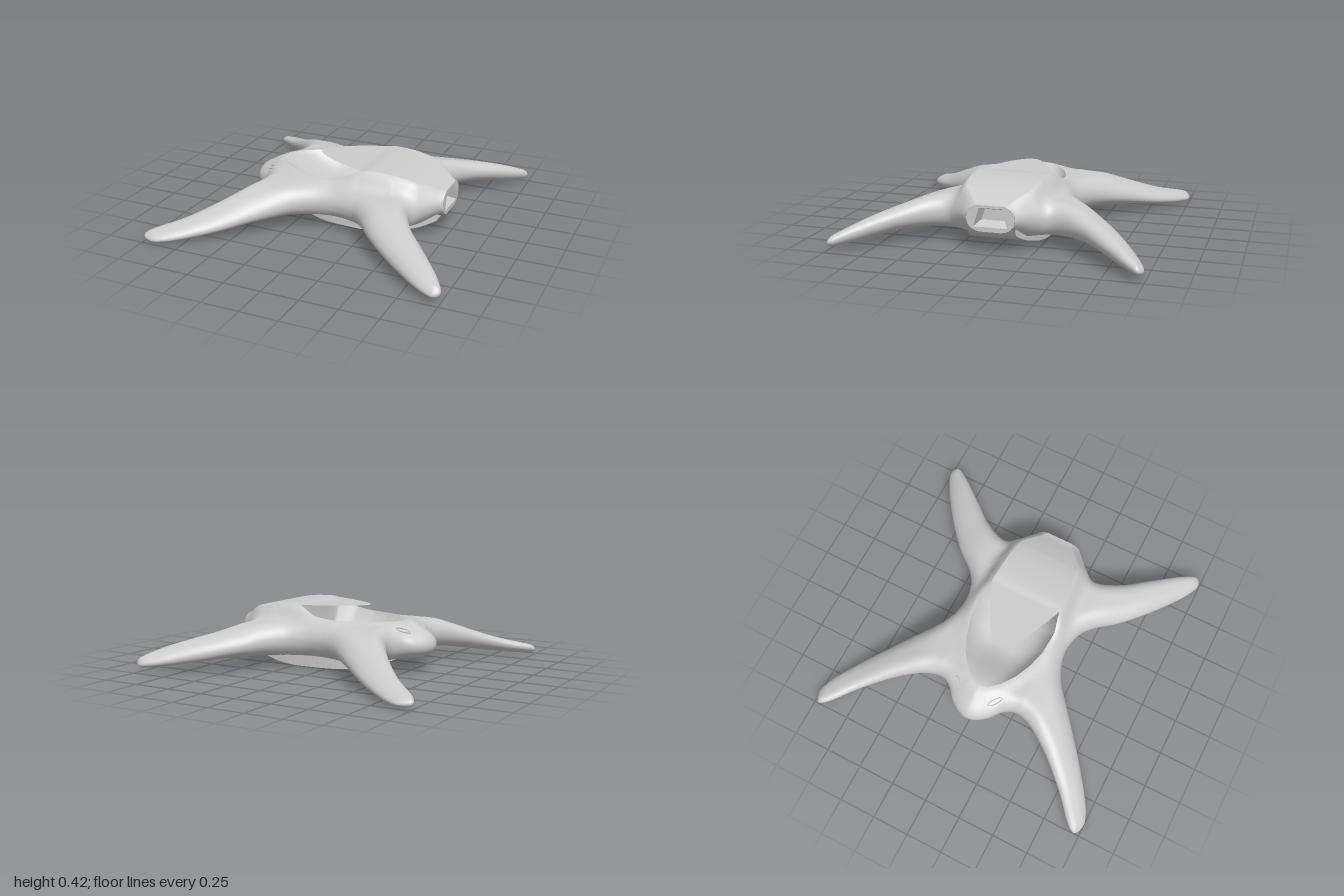
import * as THREE from 'three';
import { mergeVertices, toCreasedNormals } from 'three/addons/utils/BufferGeometryUtils.js';

const { lerp, smoothstep, clamp } = THREE.MathUtils;

// smooth curve y(x) through [x, y] knots, flat outside the range
function curve(knots) {
  const n = knots.length;
  const slope = i => {
    const a = knots[Math.max(i - 1, 0)], b = knots[Math.min(i + 1, n - 1)];
    return (b[1] - a[1]) / (b[0] - a[0]);
  };
  return x => {
    if (x <= knots[0][0]) return knots[0][1];
    if (x >= knots[n - 1][0]) return knots[n - 1][1];
    let i = 0;
    while (x > knots[i + 1][0]) i++;
    const [x0, y0] = knots[i], [x1, y1] = knots[i + 1], h = x1 - x0, t = (x - x0) / h;
    const s = t * t * (3 - 2 * t);
    return y0 + (y1 - y0) * s + h * t * (1 - t) * ((1 - t) * slope(i) - t * slope(i + 1));
  };
}

// distance from a point to a polyline in plan
function distance(x, z, line) {
  let best = 9;
  for (let i = 0; i + 1 < line.length; i++) {
    const [ax, az] = line[i], dx = line[i + 1][0] - ax, dz = line[i + 1][1] - az;
    const t = clamp(((x - ax) * dx + (z - az) * dz) / (dx * dx + dz * dz || 1), 0, 1);
    best = Math.min(best, Math.hypot(x - ax - t * dx, z - az - t * dz));
  }
  return best;
}

// indexed surface from a rule point(i, j); it faces j-direction x i-direction
function grid(n, m, point) {
  const pos = [], index = [];
  for (let i = 0; i <= n; i++) for (let j = 0; j <= m; j++) {
    pos.push(...point(i, j));
    if (i < n && j < m) {
      const a = i * (m + 1) + j, b = a + m + 1;
      index.push(a, a + 1, b, b, a + 1, b + 1);
    }
  }
  const g = new THREE.BufferGeometry();
  g.setAttribute('position', new THREE.Float32BufferAttribute(pos, 3));
  g.setIndex(index);
  const merged = mergeVertices(g, 1e-5);
  merged.computeVertexNormals();
  return merged;
}

// cockpit rim and hump edge (R), front arm centreline (C), rear arm centreline (D)
const R = [[-.47, 0], [-.45, .06], [-.4, .12], [-.3, .19], [-.2, .235], [-.08, .268], [.07, .28],
  [.2, .25], [.4, .237], [.57, .21], [.73, .09]];
const C = [[-.3, .36], [-.45, .53], [-.7, .755], [-.93, .945]];
const D = [[.43, .4], [.54, .6], [.72, .75], [.94, .93]];

// plan outline of one half, each knot paired with its inner point
const half = [
  [-.67, 0, R[0]], [-.655, .06, R[1]], [-.6, .14, R[2]], [-.53, .2, R[3]], [-.495, .27, R[3]],
  [-.51, .36, C[0]], [-.61, .53, C[1]], [-.8, .75, C[2]], [-.985, .925, C[3]], [-1, .97, C[3]],
  [-.935, 1, C[3]], [-.85, .98, C[3]], [-.61, .82, C[2]], [-.4, .65, C[1]], [-.185, .47, C[0]],
  [-.13, .437, R[3]], [-.09, .418, R[4]], [-.03, .398, R[5]], [.07, .387, R[6]], [.19, .415, R[7]],
  [.24, .445, R[8]], [.3, .5, D[0]], [.4, .615, D[1]], [.62, .8, D[2]], [.885, .97, D[3]],
  [.965, .99, D[3]], [1, .96, D[3]], [.965, .89, D[3]], [.78, .67, D[2]], [.66, .53, D[1]],
  [.585, .39, D[0]], [.58, .33, R[8]], [.62, .27, R[9]], [.73, .16, R[10]],
];
const flip = half.slice(1).reverse().map(([x, z, q]) => [x, -z, [q[0], -q[1]]]);
const knots = [...flip, ...half];
const STEPS = 8, COUNT = (knots.length - 1) * STEPS;
const spline = new THREE.CatmullRomCurve3(knots.map(k => new THREE.Vector3(k[0], 0, k[1])));
const outline = Array.from({ length: COUNT + 1 }, (_, i) => {
  const p = spline.getPoint(i / COUNT);
  return [p.x, p.z];
});
const edge = outline.slice(COUNT / 2 - 4);

// height rules
const rimY = curve([[-.47, .33], [-.1, .33], [.07, .352], [.2, .412], [.3, .42], [.45, .408], [.6, .37], [.73, .312]]);
const frontTop = curve([[.3, .31], [.45, .285], [.6, .225], [.8, .13], [1, .055]]);
const rearTop = curve([[.3, .31], [.45, .295], [.6, .25], [.8, .18], [1, .085]]);
const frontLow = curve([[.3, .09], [.45, .09], [.6, .07], [.8, .03], [1, 0]]);
const rearLow = curve([[.3, .085], [.6, .085], [.8, .055], [1, .025]]);

function heights(x, zz, onEdge = false) {
  const z = Math.abs(zz), back = smoothstep(x, -.3, .3);
  const k = Math.exp(-((distance(x, z, R) / .055) ** 2));
  const top = lerp(lerp(frontTop(z), rearTop(z), back), rimY(x), k);
  const tail = smoothstep(x, .55, .73) * (1 - smoothstep(z, .25, .4));
  const low = lerp(frontLow(z), rearLow(z), back) + .055 * tail;
  const nose = (1 - smoothstep(x, -.6, -.4)) * (1 - smoothstep(z, .1, .25));
  const w = .1 + .1 * nose - .045 * smoothstep(z, .6, 1);
  const d = onEdge ? 0 : Math.min(distance(x, z, edge) / w, 1);
  const f = Math.sqrt(1 - (1 - d) ** 2), mid = (top + low) / 2 - .02 * nose * (1 - d);
  return [mid + (top - low) / 2 * f, mid - (top - low) / 2 * f];
}

// point and half width along a polyline
const along = (line, t) => {
  const i = Math.min(Math.floor(t), line.length - 2), f = t - i;
  return [lerp(line[i][0], line[i + 1][0], f), lerp(line[i][1], line[i + 1][1], f)];
};

export function createModel() {
  const group = new THREE.Group();
  const solid = new THREE.MeshStandardMaterial({ color: 0xcccccc });
  const thin = new THREE.MeshStandardMaterial({ color: 0xcccccc, side: THREE.DoubleSide });
  const add = (name, geometry, material = solid) => {
    const mesh = new THREE.Mesh(geometry, material);
    mesh.name = name;
    group.add(mesh);
    return mesh;
  };

  // hull with four blended arms: rows run from the rim, round the edge, to the belly
  const rings = 13;
  const topInner = knots.map(k => k[2]);
  const lowInner = topInner.map(q => Math.abs(q[1]) < .29 ? [q[0], 0] : q);
  add('hullAndArms', grid(COUNT, rings * 2, (i, j) => {
    const upper = j <= rings, s = (Math.abs(j - rings) / rings) ** 1.8;
    const q = along(upper ? topInner : lowInner, i / STEPS), o = outline[i];
    const x = lerp(o[0], q[0], s), z = lerp(o[1], q[1], s);
    return [x, heights(x, z, j === rings)[upper ? 0 : 1], z];
  }));

  // scooped recess in front of the hump, closed by a wall under the panel
  const scoopRows = 7 * STEPS;
  add('cockpitScoop', grid(scoopRows + 1, 24, (i, j) => {
    const [x, h] = along(R.slice(0, 8), Math.min(i / STEPS, 7));
    const v = Math.sin((j / 24 - .5) * Math.PI), rim = heights(x, h)[0];
    const floor = .33 - .13 * smoothstep(x, -.47, -.12);
    return [x, i > scoopRows ? rim : lerp(rim, Math.min(floor, rim), 1 - v ** 4), v * h];
  }), thin);

  // hump panel, overhanging the scoop with a rounded point
  const panel = [[-.19, 0], [-.185, .025], [-.165, .055], [-.1, .11], [0, .165], [.1, .21], ...R.slice(7)];
  add('humpPanel', grid((panel.length - 1) * STEPS, 8, (i, j) => {
    const [x, h] = along(panel, i / STEPS);
    return [x, x < .2 ? .412 : heights(x, h)[0], (j / 4 - 1) * h];
  }), thin);

  // flat-bottomed keel: x, half width, bottom height
  const keelPath = new THREE.CatmullRomCurve3([[-.46, .04, .1], [-.4, .09, .065], [-.28, .16, .03],
    [-.1, .22, .004], [.1, .245, 0], [.25, .245, 0], [.42, .23, .02], [.6, .185, .07], [.69, .155, .115]]
    .map(p => new THREE.Vector3(...p)));
  add('keel', toCreasedNormals(grid(41, 3, (i, j) => {
    const p = keelPath.getPoint(Math.min(i / 40, 1));
    const y = i > 40 || j % 3 === 0 ? .16 : Math.max(p.z, 0);
    return [i > 40 ? .72 : p.x, y, j < 2 ? p.y : -p.y];
  }), .6));

  // tail face with a tapered trapezoid nozzle
  const zs = Array.from({ length: 33 }, (_, i) => (i / 16 - 1) * .16);
  const face = new THREE.Shape([
    ...zs.map(z => new THREE.Vector2(z, heights(.73, z, Math.abs(z) > .159)[1])),
    ...zs.slice(1, -1).reverse().map(z => new THREE.Vector2(z, heights(.73, Math.max(Math.abs(z), .09))[0])),
  ]);
  const mouth = [[-.11, .17], [.11, .17], [.075, .29], [-.075, .29]];
  const throat = [[-.085, .195], [.085, .195], [.06, .265], [-.06, .265]];
  face.holes.push(new THREE.Path(mouth.map(p => new THREE.Vector2(...p))));
  add('tailFace', new THREE.ShapeGeometry(face).rotateY(Math.PI / 2).translate(.73, 0, 0), thin);
  const funnel = grid(2, 4, (i, j) => {
    const [z, y] = i === 0 ? mouth[j % 4] : i === 1 ? throat[j % 4] : [0, .23];
    return [i === 0 ? .73 : .65, y, z];
  });
  add('tailNozzle', toCreasedNormals(funnel, .3), thin);

  // oval vents on the nose
  for (const side of [-1, 1]) {
    const x = -.51, z = .138 * side, e = .01, y = heights(x, z)[0];
    const n = new THREE.Vector3((y - heights(x + e, z)[0]) / e, 1, (y - heights(x, z + e)[0]) / e).normalize();
    const t = new THREE.Vector3(.1, 0, .055 * side);
    t.addScaledVector(n, -t.dot(n)).normalize();
    const vent = add(side > 0 ? 'leftVent' : 'rightVent', new THREE.TorusGeometry(.05, .006, 8, 32).scale(1, .32, 1));
    vent.setRotationFromMatrix(new THREE.Matrix4().makeBasis(t, n.clone().cross(t), n));
    vent.position.set(x, y, z);
  }
  return group;
}
